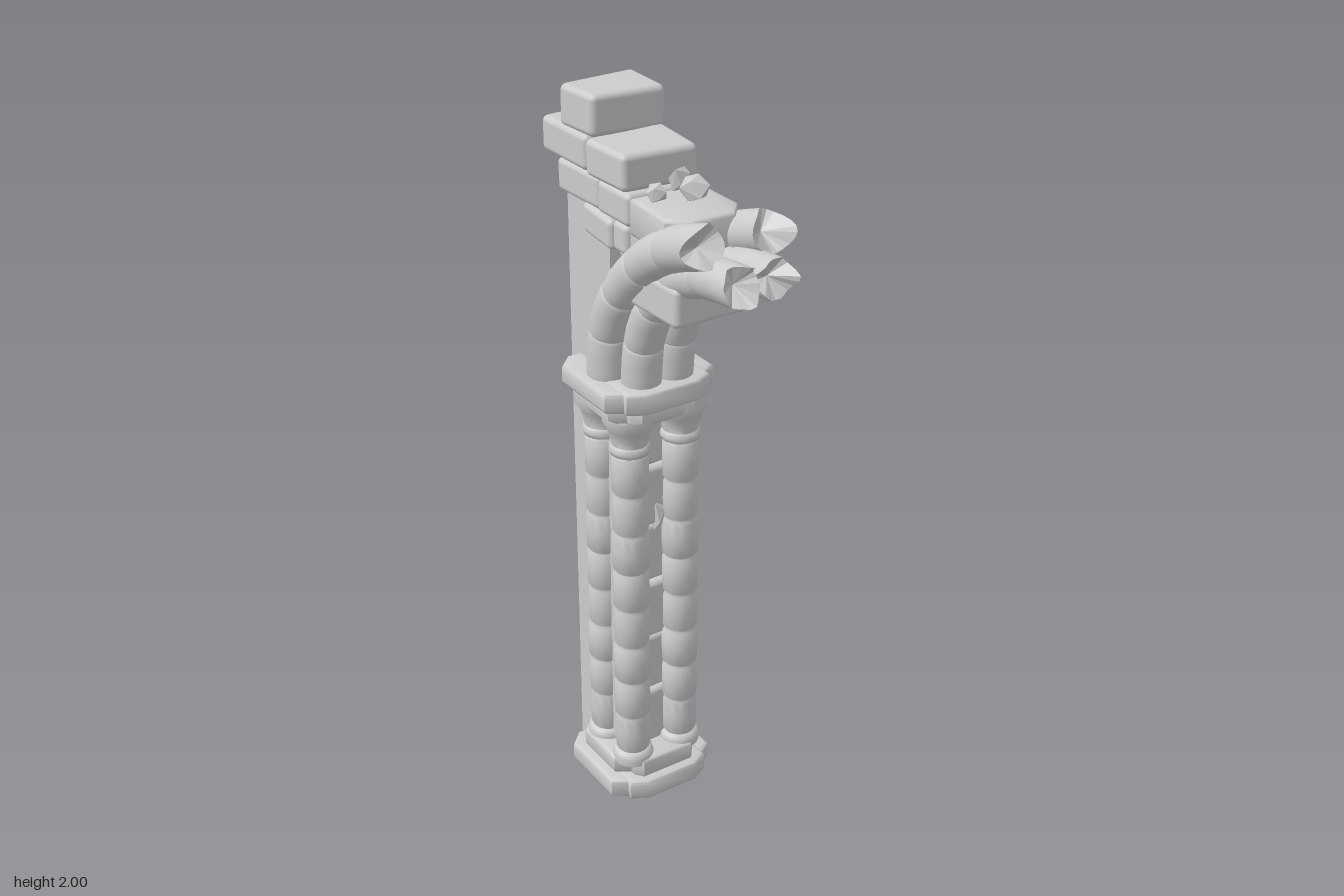
import * as THREE from 'three';
import { RoundedBoxGeometry } from 'three/addons/geometries/RoundedBoxGeometry.js';
import { ConvexGeometry } from 'three/addons/geometries/ConvexGeometry.js';
import { toCreasedNormals } from 'three/addons/utils/BufferGeometryUtils.js';

const stoneMat = new THREE.MeshStandardMaterial({ color: 0xcccccc });
const brokenMat = new THREE.MeshStandardMaterial({ color: 0xcccccc, flatShading: true, side: THREE.DoubleSide });

let seed = 7;
const rnd = () => (seed = (seed * 16807) % 2147483647) / 2147483647;

export function createModel() {
  const root = new THREE.Group();
  const add = (name, geo, mat = stoneMat, parent = root) => {
    const m = new THREE.Mesh(geo, mat);
    m.name = name;
    parent.add(m);
    return m;
  };

  // Worn block given by its extents, with slightly uneven faces
  const block = (name, x0, x1, y0, y1, z0, z1, wear = 0.005) => {
    const w = x1 - x0, h = y1 - y0, d = z1 - z0;
    const g = new RoundedBoxGeometry(w, h, d, 3, Math.min(0.016, h * 0.25));
    const p = g.attributes.position;
    const k = [rnd(), rnd(), rnd()].map((v) => (v - 0.5) * 2 * wear);
    for (let i = 0; i < p.count; i++) {
      const x = p.getX(i) / w, y = p.getY(i) / h, z = p.getZ(i) / d;
      p.setXYZ(i, p.getX(i) + k[0] * z * 2, p.getY(i) + k[1] * x * z * 4, p.getZ(i) + k[2] * (x + y));
    }
    add(name, g).position.set((x0 + x1) / 2, (y0 + y1) / 2, (z0 + z1) / 2);
  };

  // Flat stone with a polygon plan of [x, z] points
  const slab = (name, plan, y0, y1) => {
    const b = 0.01;
    const shape = new THREE.Shape(plan.map(([x, z]) => new THREE.Vector2(x, -z)));
    const g = new THREE.ExtrudeGeometry(shape, {
      depth: y1 - y0 - 2 * b, bevelThickness: b, bevelSize: b, bevelOffset: -b, bevelSegments: 2,
    });
    g.rotateX(-Math.PI / 2);
    g.translate(0, y0 + b, 0);
    add(name, toCreasedNormals(g, 0.8));
  };

  // Ring of stones used for the plinth and the capital: one front and two sides
  const tier = (name, y0, y1, inset) => {
    const f = 0.04 - inset, s = 0.165 - inset, r = -0.275 + inset;
    slab(name + 'Front', [[-0.08, f], [0.08, f], [0.125 - inset, f - 0.025], [0.125 - inset, -0.1],
      [-0.125 + inset, -0.1], [-0.125 + inset, f - 0.025]], y0, y1);
    for (const m of [1, -1]) {
      const side = [[0.05, f - 0.035], [0.12 - inset, f - 0.035], [s, f - 0.065], [s, r + 0.04],
        [s - 0.04, r], [0.05, r]];
      slab(name + (m > 0 ? 'Left' : 'Right'), side.map(([x, z]) => [x * m, z]), y0 + 0.001, y1 - 0.003);
    }
  };
  tier('plinthLower', 0, 0.062, 0);
  tier('plinthUpper', 0.058, 0.118, 0.026);
  tier('capitalLower', 1.18, 1.228, 0.022);
  tier('capitalUpper', 1.224, 1.285, 0);

  // Plain rear pillar and the coursed stones between the columns
  add('rearPillar', new THREE.BoxGeometry(0.18, 1.73, 0.2)).position.set(0, 0.865, -0.21);
  for (let i = 0; i < 6; i++) {
    const y = 0.11 + i * 0.18, s = (i % 2) * 0.008;
    block('coreStone', -0.068 - s, 0.068 + s, y, y + 0.179, -0.21, -0.06 - s);
  }

  // Four columns turned as stacked drums, with base ring, collar and flared bell
  const drums = 8, y0 = 0.14, dh = (1.085 - y0) / drums;
  const profile = [[0.056, 0.1], [0.058, 0.12], [0.053, 0.137], [0.046, 0.14]];
  for (let i = 0; i < drums; i++) {
    const y = y0 + i * dh, r = 0.0475 + (i % 3) * 0.001;
    profile.push([0.044, y + 0.001], [r, y + 0.008], [r + 0.001, y + dh / 2], [r, y + dh - 0.008], [0.044, y + dh - 0.001]);
  }
  profile.push([0.052, 1.088], [0.056, 1.1], [0.052, 1.112], [0.049, 1.115], [0.052, 1.135],
    [0.06, 1.16], [0.072, 1.18], [0.072, 1.2]);
  const columnGeo = toCreasedNormals(
    new THREE.LatheGeometry(profile.map(([r, y]) => new THREE.Vector2(r, y)), 24), 0.9);
  for (const x of [-0.078, 0.078]) for (const z of [-0.047, -0.18]) add('column', columnGeo).position.set(x, 0, z);

  // Arch rib: drums swept along a [z, y] path, ending in a jagged break
  const rib = (name, x, path, radius, count, jag) => {
    const curve = new THREE.CatmullRomCurve3(path.map(([z, y]) => new THREE.Vector3(x, y, z)));
    const stations = [];
    for (let i = 0; i < count; i++) {
      const r = radius * (0.98 + 0.04 * rnd());
      for (const [t, s] of [[0.01, 0.92], [0.06, 1], [0.35, 1.01], [0.65, 1.01], [0.94, 1], [0.99, 0.92]]) {
        const broken = i === count - 1 && t > 0.9;
        if (!broken) stations.push([(i + t) / count, r * s]);
      }
    }
    stations.push([1, radius]);
    const n = 24, pos = [], idx = [], rim = [];
    const X = new THREE.Vector3(1, 0, 0);
    stations.forEach(([u, r], i) => {
      const c = curve.getPointAt(u), T = curve.getTangentAt(u);
      const N = new THREE.Vector3().crossVectors(X, T);
      const last = i === stations.length - 1;
      for (let j = 0; j <= n; j++) {
        const a = (j / n) * Math.PI * 2;
        const v = c.clone().addScaledVector(X, r * Math.cos(a)).addScaledVector(N, r * Math.sin(a));
        if (last) {
          v.addScaledVector(T, jag(a));
          rim.push(v);
        }
        pos.push(v.x, v.y, v.z);
        if (!last && j < n) {
          const p = i * (n + 1) + j, q = p + n + 1;
          idx.push(p, q, p + 1, q, q + 1, p + 1);
        }
      }
    });
    const g = new THREE.BufferGeometry();
    g.setAttribute('position', new THREE.Float32BufferAttribute(pos, 3));
    g.setIndex(idx);
    g.computeVertexNormals();
    add(name, g);
    // Hollowed fracture face
    const mid = curve.getPointAt(0.97), cap = [];
    for (let j = 0; j < n; j += 2) for (const v of [mid, rim[j + 2], rim[j + 1], mid, rim[j + 1], rim[j]]) cap.push(v.x, v.y, v.z);
    const cg = new THREE.BufferGeometry();
    cg.setAttribute('position', new THREE.Float32BufferAttribute(cap, 3));
    cg.computeVertexNormals();
    add(name + 'Break', cg, brokenMat);
  };
  const outerPath = [[-0.13, 1.26], [-0.115, 1.41], [-0.055, 1.53], [0.02, 1.615], [0.1, 1.68], [0.19, 1.73], [0.285, 1.765]];
  const innerPath = [[-0.04, 1.26], [-0.02, 1.41], [0.035, 1.52], [0.1, 1.6], [0.2, 1.655], [0.29, 1.68], [0.37, 1.69]];
  for (const m of [1, -1]) {
    const side = m > 0 ? 'Left' : 'Right';
    rib('outerRib' + side, 0.09 * m, outerPath, 0.054, 5,
      (a) => 0.02 + 0.02 * Math.sin(a * 2 + m) + 0.012 * Math.cos(a * 3) + 0.012 * Math.sin(a * m));
    rib('innerRib' + side, 0.048 * m, innerPath, 0.052, 5,
      (a) => 0.018 + 0.016 * Math.sin(a * 3 + m) + 0.01 * Math.cos(a * 5));
  }

  // Ruined masonry above the arch, from the lowest course up
  block('archStone', -0.105, 0.105, 1.525, 1.63, 0.0, 0.2);
  block('archFillStone', -0.085, 0.085, 1.62, 1.72, -0.08, 0.15);
  block('courseOneFront', -0.1, 0.1, 1.635, 1.715, -0.085, -0.02);
  block('courseOneBack', -0.105, 0.105, 1.635, 1.715, -0.225, -0.082);
  slab('courseTwoFront', [[-0.1, 0.0], [0.1, 0.0], [0.1, 0.16], [0.06, 0.208], [-0.06, 0.208], [-0.108, 0.16]], 1.7, 1.795);
  block('courseTwoMiddle', -0.105, 0.1, 1.715, 1.8, -0.148, 0.0);
  block('courseTwoBack', -0.1, 0.105, 1.712, 1.8, -0.34, -0.15);
  block('courseThreeFront', -0.112, 0.105, 1.8, 1.893, -0.192, -0.008, 0.01);
  block('courseThreeBack', -0.105, 0.1, 1.798, 1.89, -0.41, -0.195);
  block('topStone', -0.105, 0.105, 1.89, 1.997, -0.313, -0.16);

  // Broken chunks lying on the masonry
  const chunk = (x, y, z, rx, ry, rz) => {
    const pts = [];
    for (let i = 0; i < 11; i++) {
      const a = i * 2.4, h = 1 - (2 * i + 1) / 11, q = Math.sqrt(1 - h * h), s = 0.85 + 0.3 * rnd();
      pts.push(new THREE.Vector3(rx * q * s * Math.cos(a), ry * h * s, rz * q * s * Math.sin(a)));
    }
    add('rubble', new ConvexGeometry(pts), brokenMat).position.set(x, y, z);
  };
  chunk(0.02, 1.905, -0.375, 0.045, 0.022, 0.04);
  chunk(0.045, 1.995, -0.255, 0.009, 0.006, 0.01);
  chunk(0.035, 1.82, 0.01, 0.035, 0.035, 0.02);
  chunk(-0.062, 1.815, 0.055, 0.028, 0.025, 0.033);
  chunk(0.022, 1.82, 0.085, 0.038, 0.038, 0.045);
  chunk(0.018, 0.85, -0.07, 0.02, 0.055, 0.025);
  return root;
}
